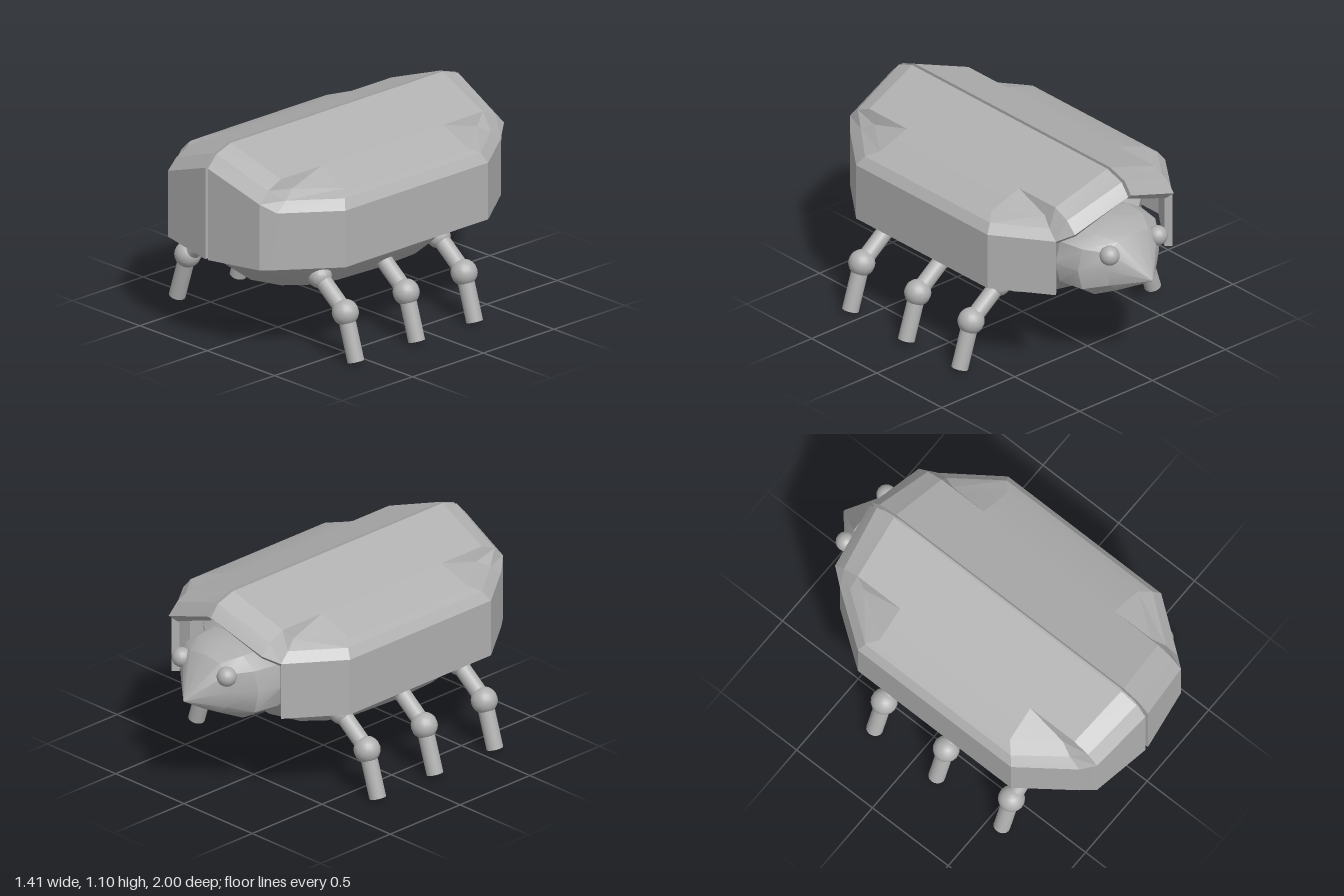
import * as THREE from 'three';
import { toCreasedNormals } from 'three/addons/utils/BufferGeometryUtils.js';

const grey = new THREE.MeshStandardMaterial({ color: 0xb0b0b0, side: THREE.DoubleSide });
grey.name = 'grey';

function makeMesh(name, geometry) {
  const m = new THREE.Mesh(geometry, grey);
  m.name = name;
  return m;
}

// Triangle soup builder working on [x, y, z] points
function soup() {
  const out = [];
  const tri = (a, b, c) => out.push(...a, ...b, ...c);
  const quad = (a, b, c, d) => { tri(a, b, c); tri(a, c, d); };
  const build = (crease) => {
    const g = new THREE.BufferGeometry();
    g.setAttribute('position', new THREE.Float32BufferAttribute(out, 3));
    return toCreasedNormals(g, crease);
  };
  return { tri, quad, build };
}

// Closed rings joined in order, both ends capped with a fan
function loft(rings, crease) {
  const s = soup(), n = rings[0].length;
  for (let r = 0; r + 1 < rings.length; r++)
    for (let i = 0; i < n; i++) {
      const j = (i + 1) % n;
      s.quad(rings[r][i], rings[r + 1][i], rings[r + 1][j], rings[r][j]);
    }
  const centre = (ring) => [0, 1, 2].map((k) => ring.reduce((t, p) => t + p[k], 0) / n);
  const first = rings[0], last = rings[rings.length - 1];
  for (let i = 0; i < n; i++) {
    const j = (i + 1) % n;
    s.tri(centre(first), first[i], first[j]);
    s.tri(centre(last), last[j], last[i]);
  }
  return s.build(crease);
}

const squircle = (t, e) => Math.sign(t) * Math.pow(Math.abs(t), e);

// One wing case: wall, two bevel bands, roof with sunken corners, and thickness
function wingCase() {
  const W = [[0.01, 1.0, 1.0], [0.34, 0.88, 0.95], [0.4, 0.83, 0.88], [0.61, 0.83, 0.6],
    [0.61, 0.83, -0.41], [0.4, 0.83, -0.7], [0.34, 0.88, -0.78], [0.01, 1.0, -0.82]];
  const B = [[0.01, 1.065, 0.94], [0.34, 0.94, 0.89], [0.39, 0.88, 0.81], [0.575, 0.88, 0.57],
    [0.575, 0.88, -0.39], [0.39, 0.88, -0.64], [0.34, 0.94, -0.72], [0.01, 1.065, -0.77]];
  const R = [[0.01, 1.1, 0.84], [0.34, 0.98, 0.8], [0.36, 0.92, 0.74], [0.52, 0.91, 0.52],
    [0.52, 0.91, -0.34], [0.36, 0.92, -0.57], [0.34, 0.98, -0.63], [0.01, 1.1, -0.66]];
  const P = [[0.34, 0.98, 0.51], [0.34, 0.98, -0.35]];
  const L = W.slice(0, 6).map(([x, , z], i) => [x, [0.5, 0.52][Math.min(i, 1)], z]);
  const inset = ([x, y, z]) => [
    x < 0.02 ? x : x - 0.03, y < 0.6 ? y : y - 0.03, (z - 0.09) * 0.965 + 0.09];
  const s = soup();
  for (const f of [(p) => p, inset]) {
    const [l, w, b, r, p] = [L, W, B, R, P].map((ring) => ring.map(f));
    for (let i = 0; i < 7; i++) {
      if (i < 5) s.quad(l[i], l[i + 1], w[i + 1], w[i]);
      s.quad(w[i], w[i + 1], b[i + 1], b[i]);
      s.quad(b[i], b[i + 1], r[i + 1], r[i]);
    }
    // roof plane and its two corner patches
    s.quad(r[0], r[1], r[6], r[7]);
    s.quad(p[0], r[3], r[4], p[1]);
    s.quad(p[0], r[1], r[2], r[3]);
    s.quad(p[1], r[4], r[5], r[6]);
  }
  // rim along the bottom, the head opening and the seam
  const rim = [...L, W[5], W[6], W[7], B[7], R[7], R[0], B[0], W[0]];
  rim.forEach((a, i) => {
    const b = rim[(i + 1) % rim.length];
    s.quad(a, b, inset(b), inset(a));
  });
  return s.build(0.15);
}

// Rounded belly: rows are height, half width, front z, back z, crown
function body() {
  const rows = [[0.31, 0.38, 0.69, -0.39, 0.03], [0.42, 0.46, 0.82, -0.5, 0],
    [0.52, 0.53, 0.93, -0.6, 0], [0.72, 0.53, 0.9, -0.62, 0], [0.8, 0.42, 0.8, -0.55, 0]];
  return loft(rows.map(([y, hw, zf, zb, crown]) => Array.from({ length: 16 }, (_, i) => {
    const a = (i / 16) * Math.PI * 2;
    const x = squircle(Math.cos(a), 0.7);
    const z = squircle(Math.sin(a), 0.7);
    return [x * hw, y + crown * Math.abs(x), (zf + zb) / 2 + (z * (zf - zb)) / 2];
  })), 0.5);
}

// Pointed head: rows are z, half width, bottom y, top y
function head() {
  const rows = [[-0.45, 0.26, 0.46, 0.8], [-0.6, 0.31, 0.44, 0.83], [-0.74, 0.28, 0.44, 0.83],
    [-0.85, 0.18, 0.49, 0.8], [-1.0, 0.005, 0.58, 0.59]];
  return loft(rows.map(([z, hw, y0, y1]) => Array.from({ length: 12 }, (_, i) => {
    const a = (i / 12) * Math.PI * 2;
    return [hw * squircle(Math.cos(a), 0.75),
      (y0 + y1) / 2 + ((y1 - y0) / 2) * squircle(Math.sin(a), 0.75), z];
  })), 0.5);
}

function ball(name, r, x, y, z) {
  const m = makeMesh(name, new THREE.SphereGeometry(r, 16, 12));
  m.position.set(x, y, z);
  return m;
}

// Cylinder between two points
function rod(name, a, b, r) {
  const dir = b.clone().sub(a);
  const m = makeMesh(name, new THREE.CylinderGeometry(r, r, dir.length(), 16));
  m.position.copy(a).add(b).multiplyScalar(0.5);
  m.quaternion.setFromUnitVectors(new THREE.Vector3(0, 1, 0), dir.normalize());
  return m;
}

function leg(side, z) {
  const g = new THREE.Group();
  g.name = side > 0 ? 'leftLeg' : 'rightLeg';
  const hip = new THREE.Vector3(side * 0.395, 0.41, z);
  const knee = new THREE.Vector3(side * 0.585, 0.263, z);
  const foot = new THREE.Vector3(side * 0.663, 0.016, z);
  g.add(ball('hip', 0.063, ...hip), ball('knee', 0.07, ...knee),
    rod('upperLeg', hip, knee, 0.044), rod('lowerLeg', knee, foot, 0.044));
  return g;
}

export function createModel() {
  const model = new THREE.Group();
  model.name = 'beetle';
  model.add(makeMesh('body', body()), makeMesh('head', head()));

  const shell = wingCase();
  for (const side of [1, -1]) {
    const wing = makeMesh(side > 0 ? 'leftWingCase' : 'rightWingCase', shell);
    wing.scale.x = side;
    wing.position.x = -0.004;
    model.add(wing);

    model.add(ball('eye', 0.052, side * 0.165, 0.73, -0.855));
    for (const z of [-0.26, 0.15, 0.58]) model.add(leg(side, z));
  }
  return model;
}
